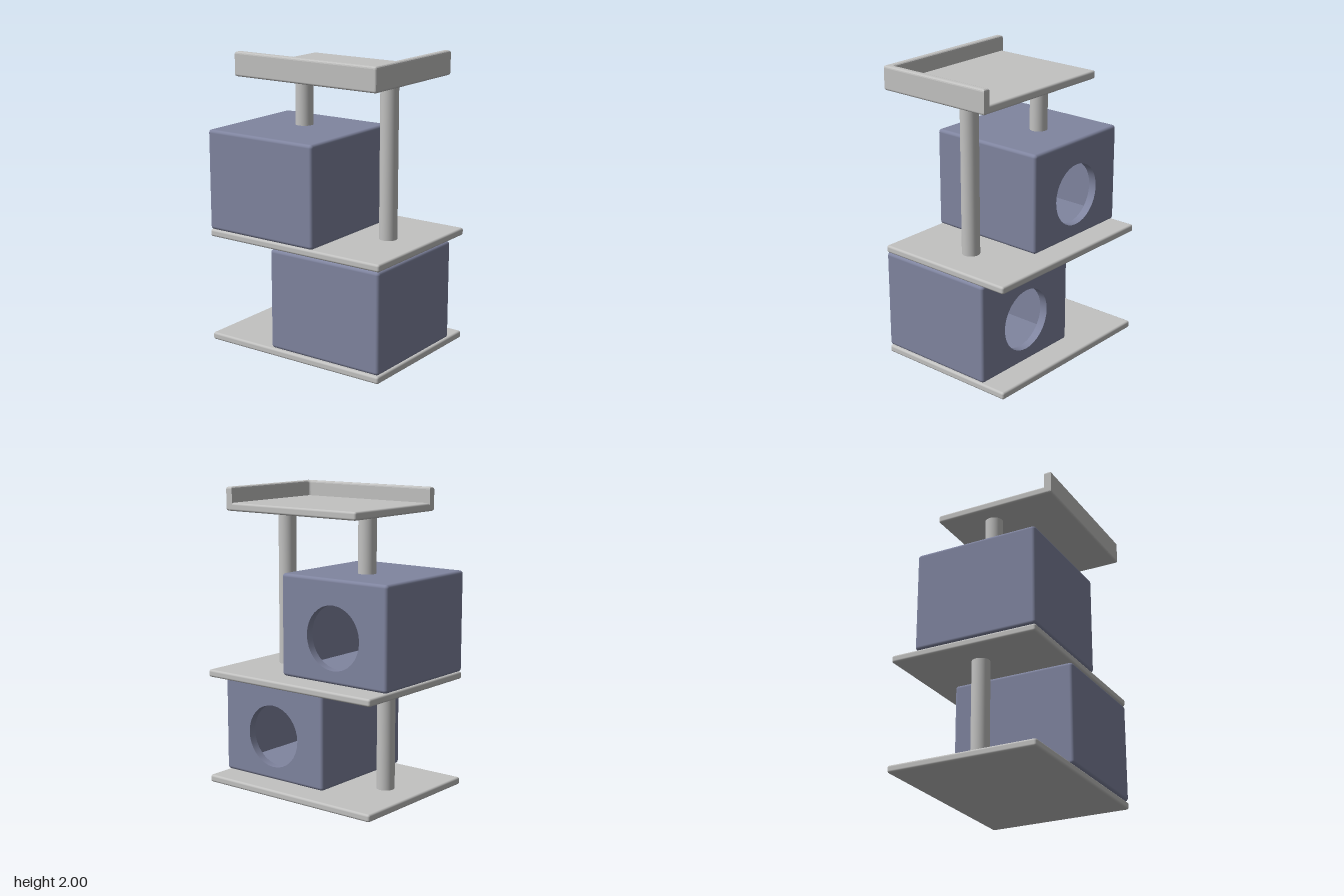
import * as THREE from 'three';
import { RoundedBoxGeometry } from 'three/addons/geometries/RoundedBoxGeometry.js';

const plush = new THREE.MeshStandardMaterial({ color: 0xc2c2c1 });
plush.name = 'light grey plush';
const fabric = new THREE.MeshStandardMaterial({ color: 0x8085a0, side: THREE.DoubleSide });
fabric.name = 'slate blue fabric';

function add(parent, name, geometry, material, x = 0, y = 0, z = 0) {
  const mesh = new THREE.Mesh(geometry, material);
  mesh.name = name;
  mesh.position.set(x, y, z);
  parent.add(mesh);
  return mesh;
}

// Drops the flat face at the back (-z) of a box
function withoutBack(geometry, depth) {
  const g = geometry.index ? geometry.toNonIndexed() : geometry;
  const p = g.attributes.position;
  const index = [];
  for (let i = 0; i < p.count; i += 3) {
    const flat = [0, 1, 2].every((k) => p.getZ(i + k) < -depth / 2 + 1e-5);
    if (!flat) index.push(i, i + 1, i + 2);
  }
  g.setIndex(index);
  g.clearGroups();
  return g;
}

// Rectangular panel with a round doorway
function doorPanel(w, h, holeY, r) {
  const s = new THREE.Shape([
    new THREE.Vector2(-w / 2, -h / 2), new THREE.Vector2(w / 2, -h / 2),
    new THREE.Vector2(w / 2, h / 2), new THREE.Vector2(-w / 2, h / 2),
  ]);
  s.holes.push(new THREE.Path().absarc(0, holeY, r, 0, Math.PI * 2, true));
  return new THREE.ShapeGeometry(s, 16);
}

// Hollow rounded cube with its doorway at the back
function house(name, x, y) {
  const W = 0.85, H = 0.68, D = 0.85, edge = 0.022, wall = 0.055, holeY = -0.04, r = 0.212;
  const g = new THREE.Group();
  g.name = name;
  g.position.set(x, y + H / 2, 0.085);
  add(g, 'outerShell', withoutBack(new RoundedBoxGeometry(W, H, D, 3, edge), D), fabric);
  add(g, 'backPanel', doorPanel(W - 2 * edge, H - 2 * edge, holeY, r).rotateY(Math.PI),
    fabric, 0, 0, -D / 2);
  const w = W - 2 * wall, h = H - 2 * wall, d = D - 2 * wall;
  add(g, 'innerWalls', withoutBack(new THREE.BoxGeometry(w, h, d), d), fabric);
  add(g, 'innerBackPanel', doorPanel(w, h, holeY, r), fabric, 0, 0, -d / 2);
  add(g, 'doorwayRim', new THREE.CylinderGeometry(r, r, wall, 32, 1, true).rotateX(Math.PI / 2),
    fabric, 0, holeY, -D / 2 + wall / 2);
  return g;
}

// L-shaped raised rim along the front and one side of the top tray
function trayRim(x0, x1, z0, z1, width, height) {
  const b = 0.015;
  const s = new THREE.Shape();
  s.moveTo(x0, -z1);
  s.lineTo(x1 - b, -z1);
  s.quadraticCurveTo(x1, -z1, x1, -z1 + b);
  s.lineTo(x1, -z0);
  s.lineTo(x1 - width, -z0);
  s.lineTo(x1 - width, -z1 + width + 0.02);
  s.quadraticCurveTo(x1 - width, -z1 + width, x1 - width - 0.02, -z1 + width);
  s.lineTo(x0, -z1 + width);
  s.closePath();
  const g = new THREE.ExtrudeGeometry(s, {
    depth: height - 2 * b, bevelEnabled: true, bevelThickness: b,
    bevelSize: b, bevelOffset: -b, bevelSegments: 3, curveSegments: 5,
  });
  return g.translate(0, 0, b).rotateX(-Math.PI / 2);
}

export function createModel() {
  const model = new THREE.Group();
  model.name = 'catTree';

  // Base and middle shelf
  for (const [name, y] of [['baseBoard', 0.025], ['middleShelf', 0.76]]) {
    add(model, name, new RoundedBoxGeometry(1.36, 0.05, 1.02, 3, 0.015), plush, 0, y, 0);
  }

  // Posts: x, bottom, top
  const posts = [
    ['lowerPost', -0.43, 0.04, 0.75],
    ['tallUpperPost', 0.41, 0.77, 1.86],
    ['shortUpperPost', -0.27, 1.45, 1.86],
  ];
  for (const [name, x, y0, y1] of posts) {
    add(model, name, new THREE.CylinderGeometry(0.06, 0.06, y1 - y0, 32), plush, x, (y0 + y1) / 2, 0);
  }

  // Two cubby houses
  model.add(house('lowerHouse', 0.255, 0.055), house('upperHouse', -0.255, 0.785));

  // Top lounging tray
  const tray = new THREE.Group();
  tray.name = 'topTray';
  add(tray, 'trayFloor', new RoundedBoxGeometry(1.085, 0.055, 0.85, 3, 0.015), plush, 0.1075, 1.8675, 0.085);
  add(tray, 'trayRim', trayRim(-0.435, 0.65, -0.34, 0.51, 0.05, 0.16), plush, 0, 1.84, 0);
  model.add(tray);

  return model;
}
